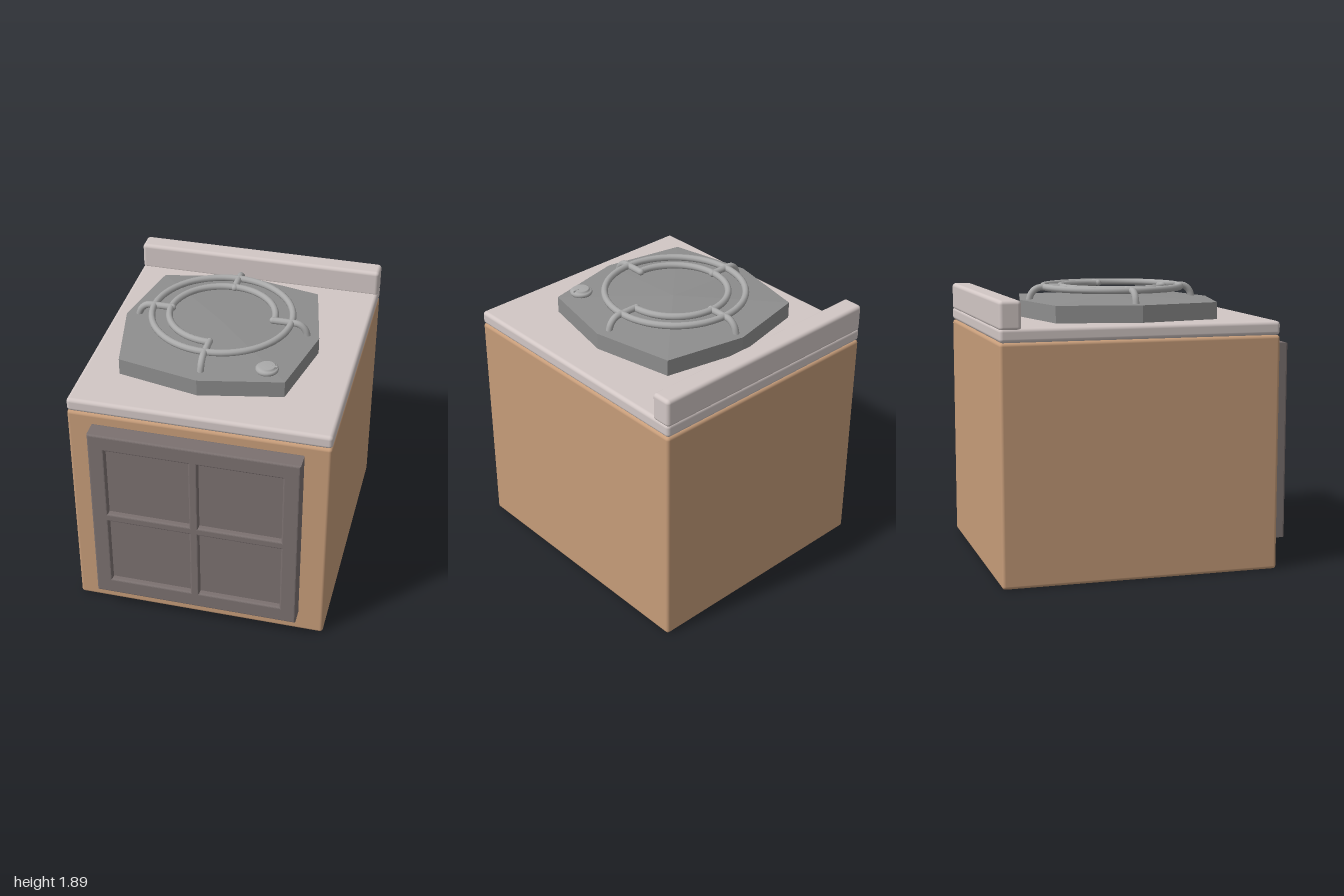
import * as THREE from 'three';
import { RoundedBoxGeometry } from 'three/addons/geometries/RoundedBoxGeometry.js';

const mat = (color, flatShading = false) => new THREE.MeshStandardMaterial({ color, flatShading });
const WOOD = mat(0xc69c79), STONE = mat(0xd2c7c5), DOOR = mat(0x7b7170);
const PLATE = mat(0x8e8e8e, true), METAL = mat(0xaaaaaa);

function add(parent, name, geometry, material, x = 0, y = 0, z = 0) {
  const mesh = new THREE.Mesh(geometry, material);
  mesh.name = name;
  mesh.position.set(x, y, z);
  parent.add(mesh);
  return mesh;
}

// Rounded box given by its limits on each axis
function block(parent, name, material, [x0, x1], [y0, y1], [z0, z1], r) {
  return add(parent, name, new RoundedBoxGeometry(x1 - x0, y1 - y0, z1 - z0, 4, r), material,
    (x0 + x1) / 2, (y0 + y1) / 2, (z0 + z1) / 2);
}

function rectangle(Type, x0, y0, x1, y1) {
  return new Type([[x0, y0], [x1, y0], [x1, y1], [x0, y1]].map(p => new THREE.Vector2(...p)));
}

// Door: bevelled frame with four openings over a recessed panel
function makeDoor() {
  const door = new THREE.Group();
  door.name = 'door';
  const b = 0.012;
  const shape = rectangle(THREE.Shape, -0.695 + b, 0.17 + b, 0.695 - b, 1.51 - b);
  for (const [x0, x1] of [[-0.585, -0.03], [0.03, 0.585]])
    for (const [y0, y1] of [[0.29, 0.81], [0.87, 1.395]])
      shape.holes.push(rectangle(THREE.Path, x0 - b, y0 - b, x1 + b, y1 + b));
  const frame = new THREE.ExtrudeGeometry(shape, {
    depth: 0.126 - 2 * b, bevelThickness: b, bevelSize: b, bevelSegments: 3,
  });
  add(door, 'doorFrame', frame, DOOR, 0, 0, 0.874 + b);
  add(door, 'doorPanel', new THREE.BoxGeometry(1.3, 1.25, 0.085), DOOR, 0, 0.84, 0.918);
  return door;
}

// Eight-sided plate with longer diagonals and a slightly raised centre
function makePlate() {
  const geo = new THREE.CylinderGeometry(0.665, 0.665, 0.125, 8);
  const p = geo.attributes.position;
  for (let i = 0; i < p.count; i++) {
    const x = p.getX(i), z = p.getZ(i);
    if (Math.hypot(x, z) < 0.01) {
      if (p.getY(i) > 0) p.setY(i, p.getY(i) + 0.035);
    } else if (Math.abs(x) > 0.1 && Math.abs(z) > 0.1) {
      p.setX(i, Math.sign(x) * 0.55);
      p.setZ(i, Math.sign(z) * 0.55);
    }
  }
  return geo;
}

// Pot stand: full outer ring, three-quarter inner ring and four bent legs
function makePotStand() {
  const stand = new THREE.Group();
  stand.name = 'potStand';
  stand.position.set(-0.065, 1.867, -0.05);
  const t = 0.023;
  add(stand, 'outerRing', new THREE.TorusGeometry(0.472, t, 10, 56), METAL).rotation.x = -Math.PI / 2;
  add(stand, 'innerRing', new THREE.TorusGeometry(0.355, t, 10, 48, Math.PI * 1.5), METAL).rotation.x = -Math.PI / 2;
  const path = new THREE.CatmullRomCurve3(
    [[0.345, 0], [0.45, 0], [0.525, -0.005], [0.565, -0.04], [0.585, -0.1]]
      .map(([x, y]) => new THREE.Vector3(x, y, 0)));
  const legGeo = new THREE.TubeGeometry(path, 20, t, 10);
  const tipGeo = new THREE.SphereGeometry(t, 10, 8);
  for (let i = 0; i < 4; i++) {
    const leg = new THREE.Group();
    leg.name = 'standLeg';
    leg.rotation.y = i * Math.PI / 2;
    add(leg, 'legBar', legGeo, METAL);
    add(leg, 'innerTip', tipGeo, METAL, 0.345, 0, 0);
    add(leg, 'foot', tipGeo, METAL, 0.585, -0.1, 0);
    stand.add(leg);
  }
  return stand;
}

// Control knob: stepped dial with a pointer
function makeKnob() {
  const knob = new THREE.Group();
  knob.name = 'knob';
  knob.position.set(0.35, 1.775, 0.435);
  const profile = [[0, 0], [0.05, 0], [0.05, 0.02], [0.07, 0.024], [0.075, 0.032], [0.075, 0.044],
    [0.068, 0.05], [0.058, 0.05], [0.056, 0.06], [0.05, 0.064], [0, 0.064]];
  add(knob, 'dial', new THREE.LatheGeometry(profile.map(p => new THREE.Vector2(...p)), 28), METAL);
  add(knob, 'pointer', new RoundedBoxGeometry(0.045, 0.014, 0.014, 2, 0.004), METAL, 0.045, 0.06, 0);
  return knob;
}

export function createModel() {
  const model = new THREE.Group();
  model.name = 'stove';

  // Cabinet and worktop
  block(model, 'cabinet', WOOD, [-0.865, 0.865], [0, 1.58], [-1, 0.875], 0.022);
  block(model, 'worktop', STONE, [-0.865, 0.865], [1.58, 1.672], [-1, 0.875], 0.025);
  block(model, 'backsplash', STONE, [-0.865, 0.865], [1.655, 1.845], [-1, -0.857], 0.025);
  model.add(makeDoor());

  // Burner
  const burner = new THREE.Group();
  burner.name = 'burner';
  add(burner, 'burnerPlate', makePlate(), PLATE, -0.065, 1.7225, -0.03);
  burner.add(makePotStand(), makeKnob());
  model.add(burner);

  return model;
}
